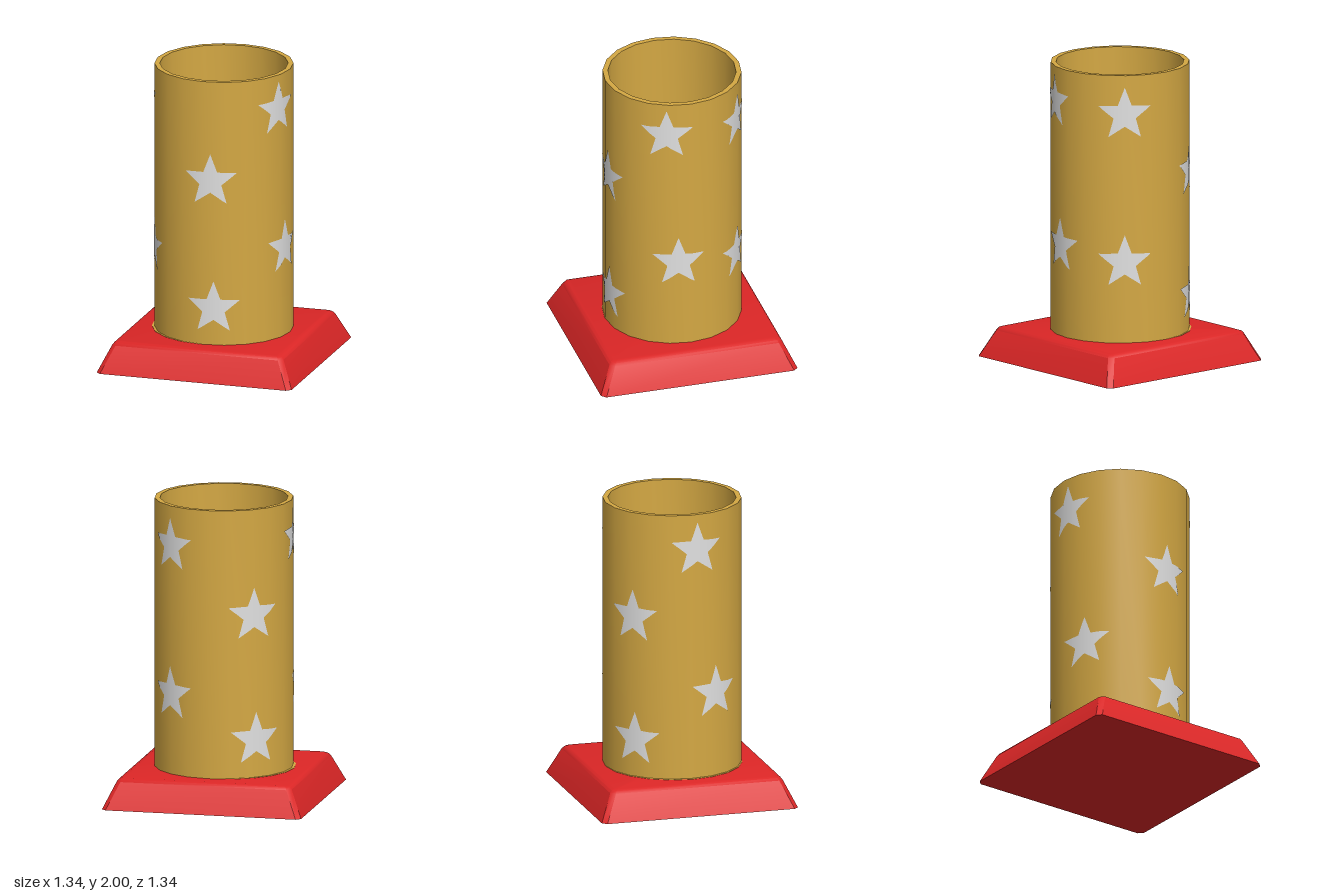
import * as THREE from 'three';
import { toCreasedNormals } from 'three/addons/utils/BufferGeometryUtils.js';

const SIDES = 20;
const RADIUS = 0.457;

function flatColor(name, color) {
  const m = new THREE.MeshStandardMaterial({ color });
  m.name = name;
  return m;
}

function addMesh(group, name, geometry, material) {
  const mesh = new THREE.Mesh(geometry, material);
  mesh.name = name;
  group.add(mesh);
  return mesh;
}

// Stack of chamfered squares [half size, corner cut, y], closed at both ends
function plinthGeometry(sections) {
  const pos = [];
  const idx = [];
  for (const [h, c, y] of sections) {
    const k = h - c;
    for (const [x, z] of [[k, h], [h, k], [h, -k], [k, -h], [-k, -h], [-h, -k], [-h, k], [-k, h]]) pos.push(x, y, z);
  }
  for (let s = 0; s < sections.length - 1; s++) {
    for (let i = 0; i < 8; i++) {
      const a = s * 8 + i;
      const b = s * 8 + (i + 1) % 8;
      idx.push(a, b, b + 8, a, b + 8, a + 8);
    }
  }
  const top = (sections.length - 1) * 8;
  for (let i = 1; i < 7; i++) {
    idx.push(top, top + i, top + i + 1);
    idx.push(0, i + 1, i);
  }
  const g = new THREE.BufferGeometry();
  g.setAttribute('position', new THREE.Float32BufferAttribute(pos, 3));
  g.setIndex(idx);
  return toCreasedNormals(g, 0.65);
}

// Five-pointed star wrapped onto the faceted tube wall
function starGeometry(degrees, y, size = 0.185) {
  const rings = 8;
  const steps = 40;
  const g = new THREE.RingGeometry(0, 1, steps, rings);
  const p = g.attributes.position;
  const n = g.attributes.normal;
  const facet = 2 * Math.PI / SIDES;
  const corner = k => {
    const a = Math.PI / 2 + k * Math.PI / 5;
    const r = size * (k % 2 ? 0.42 : 1);
    return new THREE.Vector2(Math.cos(a) * r, Math.sin(a) * r);
  };
  for (let j = 0, v = 0; j <= rings; j++) {
    for (let i = 0; i <= steps; i++, v++) {
      const k = Math.floor(i / 4);
      const q = corner(k).lerp(corner(k + 1), (i % 4) / 4).multiplyScalar(j / rings);
      const t = THREE.MathUtils.degToRad(degrees) + q.x / RADIUS;
      const inFacet = t - (Math.floor(t / facet) + 0.5) * facet;
      const r = RADIUS * Math.cos(facet / 2) / Math.cos(inFacet) + 0.004;
      p.setXYZ(v, Math.sin(t) * r, y + q.y, Math.cos(t) * r);
      n.setXYZ(v, Math.sin(t), 0, Math.cos(t));
    }
  }
  return g;
}

export function createModel() {
  const model = new THREE.Group();
  model.name = 'starTubeOnPlinth';
  const red = flatColor('red', 0xdc2626);
  const gold = flatColor('gold', 0xd4a843);
  const silver = flatColor('silver', 0xe0e0e0);

  // Sloped square plinth with a softened upper edge
  addMesh(model, 'plinth', plinthGeometry([
    [0.672, 0.03, 0], [0.59, 0.03, 0.177], [0.578, 0.026, 0.192], [0.556, 0.02, 0.2],
  ]), red);

  // Open tube with a rim, inner wall and floor
  const profile = [[RADIUS, 0.2], [RADIUS, 2], [0.422, 2], [0.422, 0.21], [0, 0.21]]
    .map(([x, y]) => new THREE.Vector2(x, y));
  addMesh(model, 'tube', toCreasedNormals(new THREE.LatheGeometry(profile, SIDES), 0.6), gold);

  // Thin seat under the tube, set slightly to one side
  const seat = addMesh(model, 'tubeSeat', new THREE.CylinderGeometry(RADIUS, RADIUS, 0.004, SIDES), gold);
  seat.position.set(-0.018, 0.2, 0);

  // Stars: angle around the tube from the front, height
  const stars = new THREE.Group();
  stars.name = 'stars';
  model.add(stars);
  for (const [degrees, y] of [
    [6.3, 1.32], [9, 0.45], [69.4, 1.77], [79.3, 0.81], [143, 1.735],
    [143, 0.74], [-67.4, 0.77], [-85, 1.76], [-141, 1.29], [-139, 0.455],
  ]) addMesh(stars, 'star', starGeometry(degrees, y), silver);

  return model;
}
